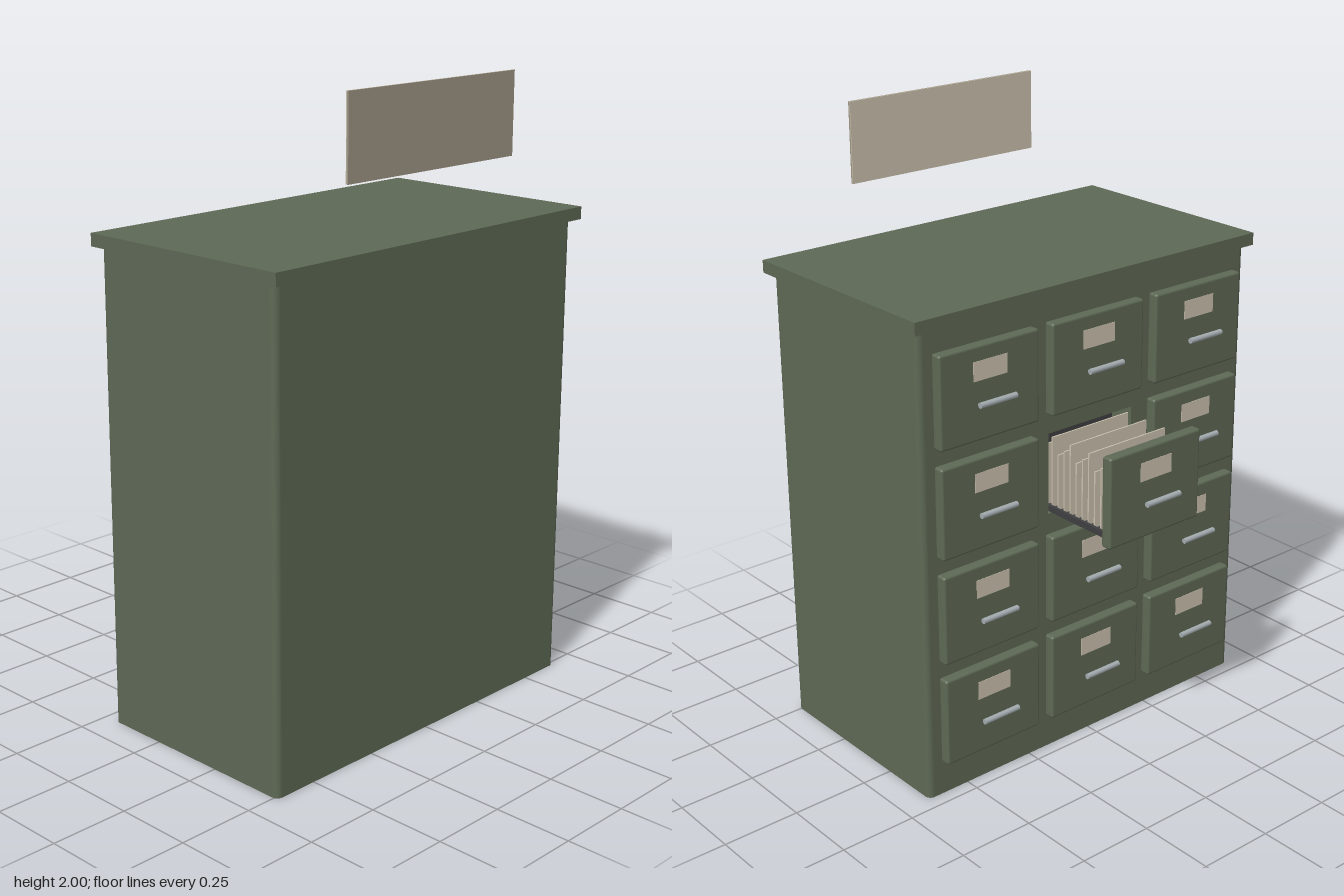
import * as THREE from 'three';
import { RoundedBoxGeometry } from 'three/addons/geometries/RoundedBoxGeometry.js';

const material = (name, color) => {
  const m = new THREE.MeshStandardMaterial({ color });
  m.name = name;
  return m;
};

// Plan of the cabinet with rounded corners; a notch on the -x side makes a drawer bay
function cabinetPlan(notched) {
  const x0 = -0.205, x1 = 0.515, d = 0.65, r = 0.02;
  const s = new THREE.Shape();
  s.moveTo(x0 + r, -d);
  s.lineTo(x1 - r, -d);
  s.absarc(x1 - r, -d + r, r, -Math.PI / 2, 0, false);
  s.absarc(x1 - r, d - r, r, 0, Math.PI / 2, false);
  s.absarc(x0 + r, d - r, r, Math.PI / 2, Math.PI, false);
  if (notched) {
    s.lineTo(x0, 0.17);
    s.lineTo(x0 + 0.09, 0.17);
    s.lineTo(x0 + 0.09, -0.17);
    s.lineTo(x0, -0.17);
  }
  s.absarc(x0 + r, -d + r, r, Math.PI, Math.PI * 1.5, false);
  return s;
}

export function createModel() {
  const green = material('green paint', 0x5e6955);
  const paper = material('paper', 0xcbc2ae);
  const tan = material('tan card', 0xa09886);
  const steel = material('steel', 0xa3abaf);
  const dark = material('dark metal', 0x404042);

  const model = new THREE.Group();
  model.name = 'filingCabinet';

  const add = (parent, name, geometry, mat, x, y, z) => {
    const mesh = new THREE.Mesh(geometry, mat);
    mesh.name = name;
    mesh.position.set(x, y, z);
    parent.add(mesh);
    return mesh;
  };
  const box = (w, h, d) => new THREE.BoxGeometry(w, h, d);

  // Cabinet body in three layers, the middle one holding the open bay
  const layer = (name, y0, y1, notched) => {
    const geo = new THREE.ExtrudeGeometry(cabinetPlan(notched),
      { depth: y1 - y0, bevelEnabled: false, curveSegments: 6 });
    add(model, name, geo.rotateX(-Math.PI / 2), green, 0, y0, 0);
  };
  layer('lowerBody', 0, 0.82, false);
  layer('middleBody', 0.82, 1.085, true);
  layer('upperBody', 1.085, 1.52, false);
  add(model, 'topSlab', box(0.765, 0.04, 1.34), green, 0.157, 1.535, 0);

  // Drawer fronts face -x, each with a label and a bar handle
  const frontGeo = new RoundedBoxGeometry(0.037, 0.292, 0.366, 3, 0.008);
  const labelGeo = box(0.004, 0.06, 0.125);
  const handleGeo = new THREE.CylinderGeometry(0.009, 0.009, 0.134, 12).rotateX(Math.PI / 2);
  const makeDrawer = (name, x, y, z) => {
    const drawer = new THREE.Group();
    drawer.name = name;
    drawer.position.set(x, y, z);
    add(drawer, 'drawerFront', frontGeo, green, 0, 0, 0);
    add(drawer, 'label', labelGeo, paper, -0.0178, 0.07, 0);
    add(drawer, 'handle', handleGeo, steel, -0.053, -0.02, 0);
    model.add(drawer);
    return drawer;
  };

  const rows = [0.262, 0.608, 0.953, 1.298];
  const columns = [-0.418, 0, 0.418];
  rows.forEach((y, r) => columns.forEach((z, c) => {
    if (r === 2 && c === 1) return;
    makeDrawer('drawer', -0.222, y, z);
  }));

  // Pulled-out drawer with its tray and rails, reaching back into the bay
  const open = makeDrawer('openDrawer', -0.478, rows[2], 0);
  add(model, 'bayBack', box(0.004, 0.262, 0.338), dark, -0.117, rows[2], 0);
  add(open, 'tray', box(0.35, 0.012, 0.33), dark, 0.177, -0.12, 0);
  for (const s of [-1, 1]) add(open, 'rail', box(0.35, 0.02, 0.01), dark, 0.177, -0.117, s * 0.16);

  // Upright files in three repeating heights
  const tops = [1.07, 1.04, 1.02];
  for (let i = 0; i < 12; i++) {
    const h = tops[i % 3] - 0.835;
    add(model, 'file', box(0.005, h, 0.31), paper, -0.453 + i * 0.0275, 0.835 + h / 2, 0);
  }

  // Sign card above the cabinet: pale face towards the drawers, tan backing
  add(model, 'signBacking', box(0.006, 0.255, 0.716), tan, 0.502, 1.8725, 0);
  add(model, 'signFace', box(0.003, 0.255, 0.716), paper, 0.4975, 1.8725, 0);

  return model;
}
